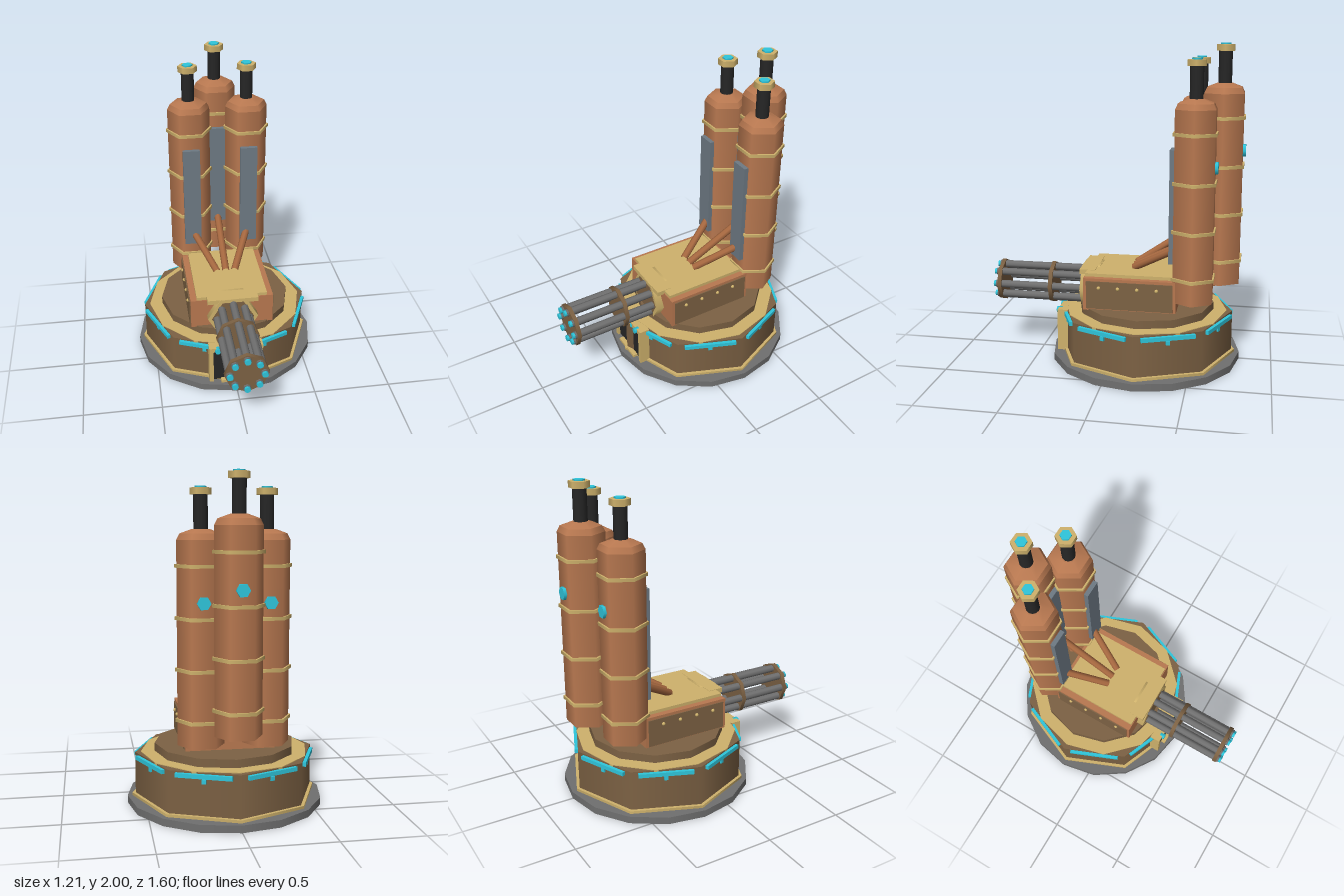
import * as THREE from 'three';

const mat = (color) => new THREE.MeshStandardMaterial({ color });
const COPPER = mat(0xb87850), BROWN = mat(0x7d6244), GOLD = mat(0xcfb26c), CYAN = mat(0x2fc6dc);
const GREY = mat(0x707070), BLACK = mat(0x262626), STEEL = mat(0x6e7a84);

const CZ = -0.19; // centre of the round base

function add(parent, name, geometry, material, x = 0, y = 0, z = 0) {
  const mesh = new THREE.Mesh(geometry, material);
  mesh.name = name;
  mesh.position.set(x, y, z);
  parent.add(mesh);
  return mesh;
}

const box = (w, h, d) => new THREE.BoxGeometry(w, h, d);

// upright prism from y0 to y1 with corners on the x axis
function prism(r0, r1, y0, y1, sides) {
  const start = sides % 4 ? Math.PI / 6 : 0;
  return new THREE.CylinderGeometry(r1, r0, y1 - y0, sides, 1, false, start, Math.PI * 2)
    .translate(0, (y0 + y1) / 2, 0);
}

// prism lying along z from z0 to z1
const prismZ = (r, z0, z1, sides) => prism(r, r, z0, z1, sides).rotateX(Math.PI / 2);

function group(parent, name, x = 0, y = 0, z = 0) {
  const g = new THREE.Group();
  g.name = name;
  g.position.set(x, y, z);
  parent.add(g);
  return g;
}

function buildBase(root) {
  const base = group(root, 'base', 0, 0, CZ);
  add(base, 'groundPlate', prism(0.605, 0.605, 0, 0.045, 16), GREY);
  add(base, 'lowerTrim', prism(0.575, 0.575, 0.045, 0.062, 8), GOLD);
  add(base, 'drum', prism(0.555, 0.555, 0.06, 0.318, 8), BROWN);
  add(base, 'topTrim', prism(0.52, 0.52, 0.3, 0.322, 12), GOLD);
  add(base, 'deck', prism(0.435, 0.435, 0.32, 0.372, 12), BROWN);

  // one light strip with a small lug on each drum face
  for (let i = 0; i < 8; i++) {
    const side = group(base, 'drumSide');
    side.rotation.y = (i + 0.5) * Math.PI / 4;
    add(side, 'lightStrip', box(0.335, 0.025, 0.03), CYAN, 0, 0.297, 0.518);
    add(side, 'stripLug', box(0.025, 0.025, 0.02), CYAN, 0, 0.265, 0.514);
  }
}

function buildDoor(root) {
  const door = group(root, 'doorway');
  for (const s of [-1, 1]) {
    add(door, 'doorPost', box(0.027, 0.27, 0.07), GOLD, s * 0.162, 0.185, 0.325);
    add(door, 'doorPanel', box(0.1, 0.25, 0.06), BLACK, s * 0.099, 0.18, 0.314);
  }
  add(door, 'doorLintel', box(0.35, 0.03, 0.07), GOLD, 0, 0.305, 0.325);
  add(door, 'doorSill', box(0.2, 0.018, 0.05), GOLD, 0, 0.055, 0.35);
  for (const x of [-0.12, 0, 0.12])
    add(door, 'doorLamp', prismZ(0.02, 0.34, 0.375, 6), CYAN, x, 0.303, 0);
}

function buildHousing(root) {
  const housing = group(root, 'housing');
  add(housing, 'housingBody', box(0.54, 0.205, 0.58), COPPER, 0, 0.4675, -0.12);
  add(housing, 'housingTop', box(0.46, 0.035, 0.55), GOLD, 0, 0.573, -0.11);
  for (const s of [-1, 1]) {
    add(housing, 'sidePanel', box(0.02, 0.175, 0.54), BROWN, s * 0.267, 0.465, -0.12);
    for (let i = 0; i < 4; i++)
      add(housing, 'rivet', new THREE.SphereGeometry(0.012, 8, 6), GOLD, s * 0.278, 0.512, 0.07 - i * 0.12);
  }
  // hexagonal gun collar
  add(housing, 'gunCollar', prismZ(0.165, 0.1, 0.218, 6), GOLD, 0, 0.45);
  add(housing, 'collarFace', prismZ(0.138, 0.2, 0.222, 6), BROWN, 0, 0.45);
  add(housing, 'collarTop', box(0.33, 0.03, 0.1), GOLD, 0, 0.578, 0.165);
}

function buildGun(root) {
  const gun = group(root, 'rotaryGun', 0, 0.45, 0);
  for (let i = 0; i < 8; i++) {
    const a = i * Math.PI / 4, x = 0.105 * Math.cos(a), y = 0.105 * Math.sin(a);
    add(gun, 'barrel', prismZ(0.025, 0.2, 0.785, 8), GREY, x, y);
    add(gun, 'barrelTip', prismZ(0.02, 0.78, 0.8, 8), CYAN, x, y);
  }
  for (const z of [0.42, 0.76])
    add(gun, 'barrelClamp', prismZ(0.138, z - 0.013, z + 0.013, 8), BROWN);
}

function buildTank(root, name, x, lift, z) {
  const tank = group(root, name, x, lift, z);
  add(tank, 'tankBody', prism(0.138, 0.138, 0.44, 1.62, 6), COPPER);
  add(tank, 'tankShoulder', prism(0.138, 0.12, 1.62, 1.655, 6), COPPER);
  add(tank, 'tankDome', prism(0.12, 0.05, 1.655, 1.68, 6), COPPER);
  for (const y of [0.59, 0.885, 1.18, 1.475])
    add(tank, 'tankBand', prism(0.15, 0.15, y - 0.01, y + 0.01, 6), GOLD);
  add(tank, 'stack', prism(0.041, 0.041, 1.66, 1.88, 12), BLACK);
  add(tank, 'stackCap', prism(0.062, 0.062, 1.87, 1.908, 6), GOLD);
  add(tank, 'stackLamp', prism(0.034, 0.034, 1.9, 1.917, 6), CYAN);
  add(tank, 'frontPlate', box(0.112, 0.7, 0.04), STEEL, 0, 1.03, 0.128);
  add(tank, 'rearGauge', prismZ(0.04, -0.138, -0.1, 6), CYAN, 0, 1.272);
}

// straight pipe between two points
function buildPipe(root, from, to) {
  const path = new THREE.LineCurve3(new THREE.Vector3(...from), new THREE.Vector3(...to));
  add(root, 'feedPipe', new THREE.TubeGeometry(path, 1, 0.024, 8), COPPER).material = PIPE;
}
const PIPE = new THREE.MeshStandardMaterial({ color: 0xa5673f, side: THREE.DoubleSide });

export function createModel() {
  const root = new THREE.Group();
  root.name = 'turret';
  buildBase(root);
  buildDoor(root);
  buildHousing(root);
  buildGun(root);
  buildTank(root, 'leftTank', 0.19, 0, -0.505);
  buildTank(root, 'rightTank', -0.19, 0, -0.505);
  buildTank(root, 'rearTank', 0, 0.083, -0.66);
  for (const s of [-1, 1]) buildPipe(root, [s * 0.06, 0.595, -0.12], [s * 0.18, 0.75, -0.38]);
  buildPipe(root, [0, 0.595, -0.12], [0, 0.8, -0.54]);
  return root;
}
